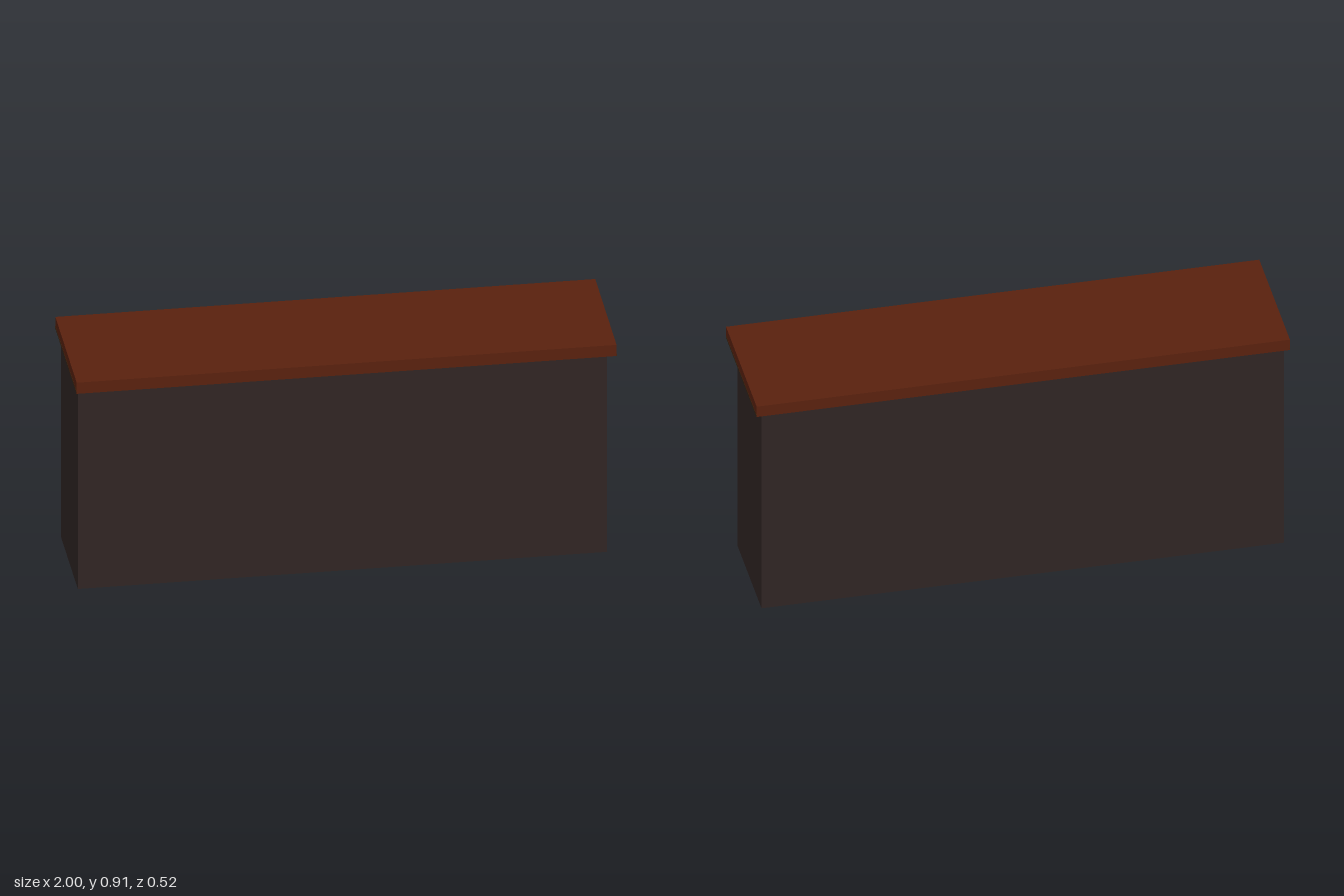
import * as THREE from 'three';

export function createModel() {
  const group = new THREE.Group();
  group.name = 'counter';

  const mat = (name, color, side = THREE.FrontSide) => {
    const m = new THREE.MeshStandardMaterial({ color, side });
    m.name = name;
    return m;
  };
  const wood = mat('redWood', 0x5a210e);
  const darkWood = mat('darkWood', 0x3a240f);
  const charcoal = mat('charcoal', 0x302524, THREE.DoubleSide);

  const add = (name, geometry, material, x, y, z) => {
    const mesh = new THREE.Mesh(geometry, material);
    mesh.name = name;
    mesh.position.set(x, y, z);
    group.add(mesh);
  };

  // Hollow base: four thin walls, open underneath, set toward the back
  const r = Math.SQRT1_2;
  const walls = new THREE.CylinderGeometry(r, r, 1, 4, 1, true)
    .rotateY(Math.PI / 4)
    .scale(1.96, 0.865, 0.41)
    .toNonIndexed();
  walls.computeVertexNormals();
  add('baseWalls', walls, charcoal, 0, 0.4325, -0.048);

  // Overhanging counter top with a dark underside
  add('counterTop', new THREE.BoxGeometry(2, 0.046, 0.524),
    [wood, wood, wood, darkWood, wood, wood], 0, 0.887, 0);

  // Dark lower trim on both ends of the top
  for (const s of [-1, 1]) {
    add(s > 0 ? 'leftEndTrim' : 'rightEndTrim',
      new THREE.BoxGeometry(0.002, 0.008, 0.524), darkWood, s * 1.0, 0.868, 0);
  }

  return group;
}
